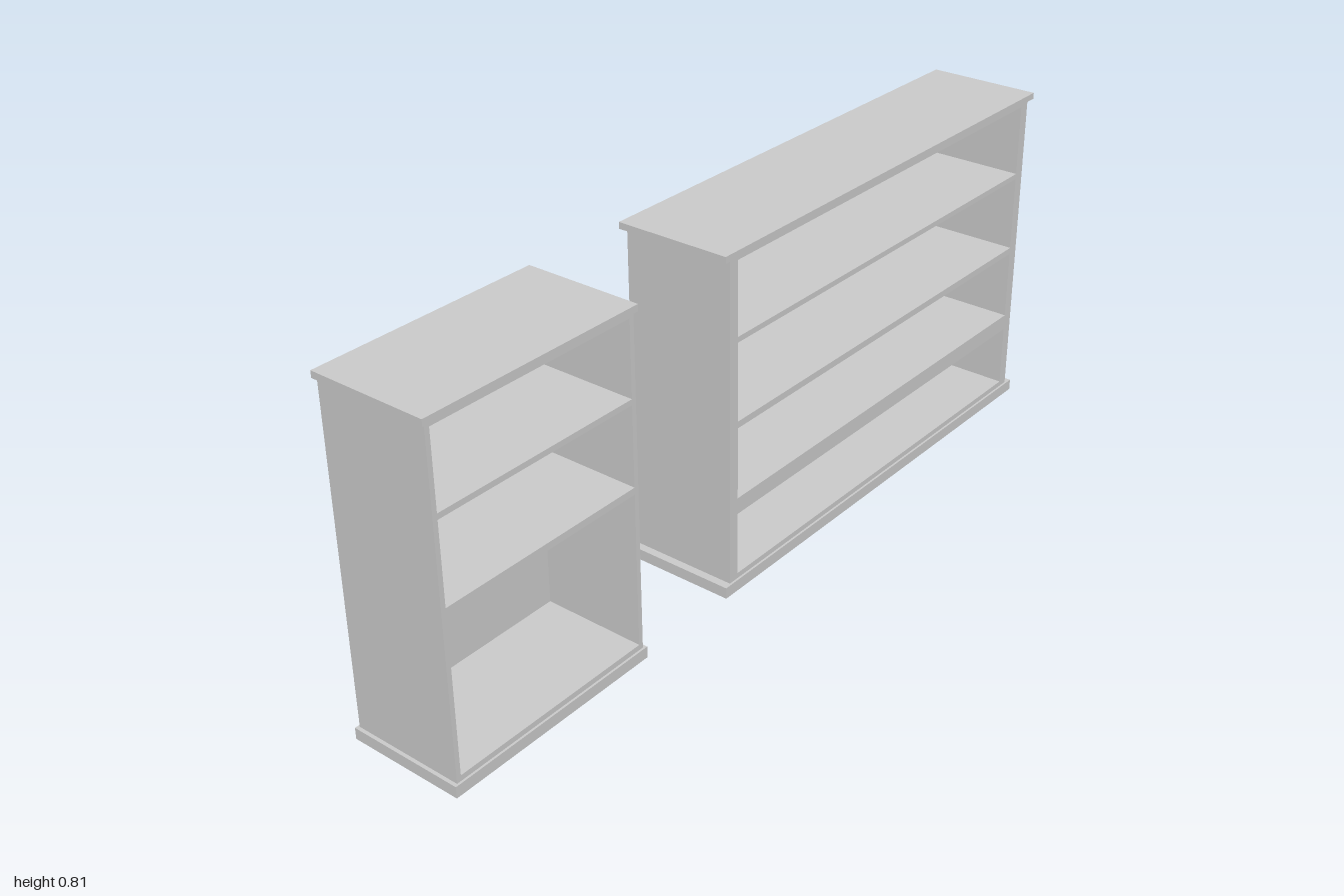
import * as THREE from 'three';

const material = new THREE.MeshStandardMaterial({ color: 0xcccccc, flatShading: true });

// Box given by its limits on each axis
function board(name, x0, x1, y0, y1, z0, z1) {
  const mesh = new THREE.Mesh(new THREE.BoxGeometry(x1 - x0, y1 - y0, z1 - z0), material);
  mesh.position.set((x0 + x1) / 2, (y0 + y1) / 2, (z0 + z1) / 2);
  mesh.name = name;
  return mesh;
}

const HEIGHT = 0.81, PLINTH = 0.027, CAP = 0.795; // CAP is the underside of the top slab
const BODY_Z = 0.133, SLAB_Z = 0.138;

// slab: x limits of top and plinth; body: outer x limits; inside: opening x limits
function bookcase({ name, slab, body, inside, backZ, shelves }) {
  const group = new THREE.Group();
  group.name = name;
  group.add(
    board('plinth', ...slab, 0, PLINTH, -SLAB_Z, SLAB_Z),
    board('topSlab', ...slab, CAP, HEIGHT, -SLAB_Z, SLAB_Z),
    board('rightWall', body[0], inside[0], PLINTH, CAP, -BODY_Z, BODY_Z),
    board('leftWall', inside[1], body[1], PLINTH, CAP, -BODY_Z, BODY_Z),
    board('backPanel', ...inside, PLINTH, CAP, -BODY_Z, backZ),
    board('floorBoard', ...inside, PLINTH, 0.04, backZ, BODY_Z),
    board('ceilingBoard', ...inside, 0.786, CAP, backZ, BODY_Z)
  );
  for (const [bottom, top] of shelves) {
    group.add(board('shelf', ...inside, bottom, top, backZ, BODY_Z));
  }
  return group;
}

export function createModel() {
  const model = new THREE.Group();
  model.name = 'bookcases';
  const upperShelves = [[0.602, 0.615], [0.402, 0.418]];
  model.add(
    bookcase({
      name: 'narrowBookcase',
      slab: [-1, -0.455], body: [-0.992, -0.463], inside: [-0.981, -0.474],
      backZ: -0.115, shelves: upperShelves
    }),
    bookcase({
      name: 'wideBookcase',
      slab: [-0.193, 1], body: [-0.174, 0.981], inside: [-0.147, 0.954],
      backZ: -0.105, shelves: [...upperShelves, [0.192, 0.231]]
    })
  );
  return model;
}
